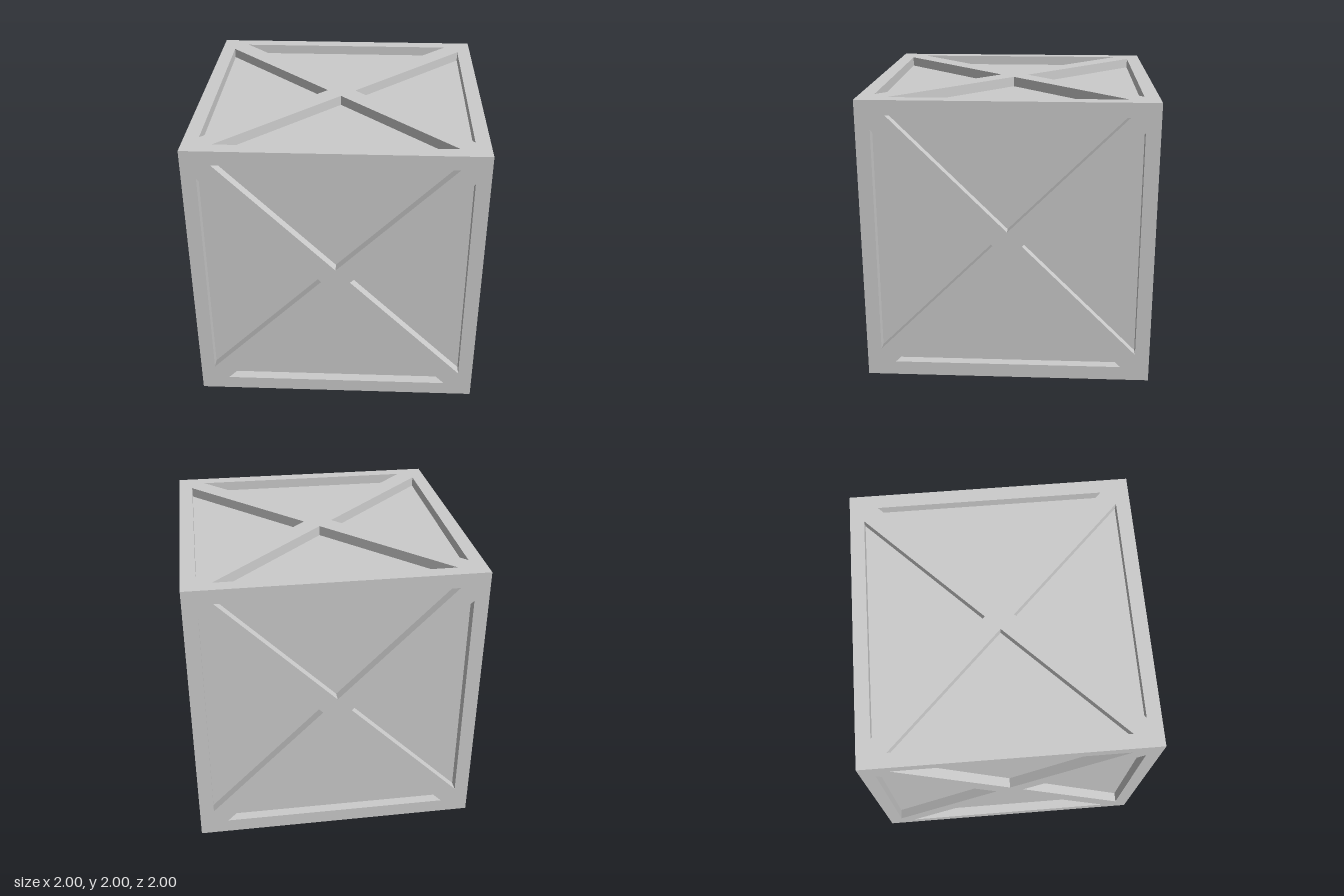
import * as THREE from 'three';

const DEPTH = 0.07; // how far the panels sit behind the frame

// One square frame with a diagonal cross, mitred at its outer edges
function frameGeometry() {
  const shape = new THREE.Shape([[-1, -1], [1, -1], [1, 1], [-1, 1]].map(p => new THREE.Vector2(...p)));
  // Four triangular openings between the border and the cross
  for (let i = 0; i < 4; i++) {
    const corners = [[0, 0.1], [-0.8, 0.9], [0.8, 0.9]].map(([x, y]) =>
      new THREE.Vector2(x, y).rotateAround(new THREE.Vector2(), i * Math.PI / 2));
    shape.holes.push(new THREE.Path(corners));
  }
  const geo = new THREE.ExtrudeGeometry(shape, { depth: DEPTH, bevelEnabled: false });
  geo.translate(0, 0, 1 - DEPTH);
  // Pull the rear outer rim inwards so that neighbouring frames meet in a mitre
  const pos = geo.attributes.position;
  const mitre = v => (Math.abs(v) > 0.99 ? Math.sign(v) * (1 - DEPTH) : v);
  for (let i = 0; i < pos.count; i++) {
    if (pos.getZ(i) < 1 - DEPTH / 2) pos.setXY(i, mitre(pos.getX(i)), mitre(pos.getY(i)));
  }
  geo.computeVertexNormals();
  return geo;
}

export function createModel() {
  const model = new THREE.Group();
  model.name = 'crate';
  const material = new THREE.MeshStandardMaterial({ color: 0xcccccc, flatShading: true });

  // Inner box whose faces show as the recessed panels
  const size = 2 - 2 * DEPTH;
  const panels = new THREE.Mesh(new THREE.BoxGeometry(size, size, size), material);
  panels.name = 'recessedPanels';
  panels.position.y = 1;
  model.add(panels);

  // The same braced frame on all six sides
  const q = Math.PI / 2;
  const sides = {
    front: [0, 0], left: [0, q], back: [0, 2 * q], right: [0, -q], top: [-q, 0], bottom: [q, 0],
  };
  const geo = frameGeometry();
  for (const [side, [rx, ry]] of Object.entries(sides)) {
    const frame = new THREE.Mesh(geo, material);
    frame.name = side + 'Frame';
    frame.rotation.set(rx, ry, 0);
    frame.position.y = 1;
    model.add(frame);
  }
  return model;
}
